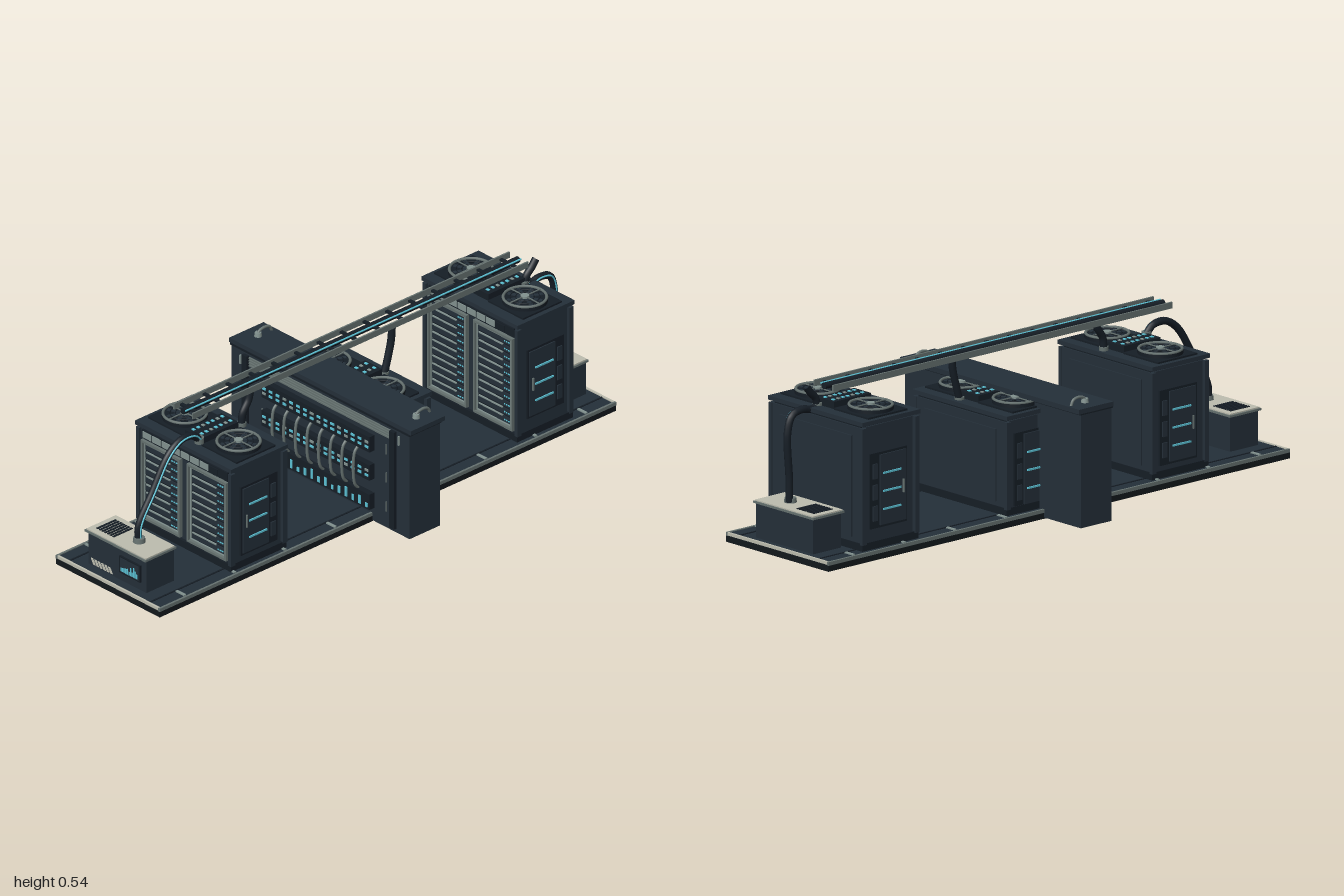
import * as THREE from 'three';

const mat = (name, color) => Object.assign(new THREE.MeshStandardMaterial({ color }), { name });
const M = {
  body: mat('slate body', 0x242f39),
  dark: mat('dark trim', 0x161e26),
  grey: mat('grey metal', 0x65716f),
  pale: mat('pale metal', 0x82928f),
  cream: mat('cream plate', 0xbdbdaf),
  cyan: mat('cyan light', 0x5cc3d6),
  floor: mat('underside', 0x12181c),
};

function add(parent, name, geo, material, x = 0, y = 0, z = 0) {
  const mesh = new THREE.Mesh(geo, material);
  mesh.name = name;
  mesh.position.set(x, y, z);
  parent.add(mesh);
  return mesh;
}
// box given by its limits on each axis
function box(parent, name, m, x0, x1, y0, y1, z0, z1) {
  return add(parent, name, new THREE.BoxGeometry(x1 - x0, y1 - y0, z1 - z0), m,
    (x0 + x1) / 2, (y0 + y1) / 2, (z0 + z1) / 2);
}
function group(parent, name, x = 0, y = 0, z = 0) {
  const g = new THREE.Group();
  g.name = name;
  g.position.set(x, y, z);
  parent.add(g);
  return g;
}
function cable(parent, name, m, pts, r) {
  const curve = new THREE.CatmullRomCurve3(pts.map(p => new THREE.Vector3(...p)));
  return add(parent, name, new THREE.TubeGeometry(curve, 32, r, 10), m);
}
// rectangular frame in the xy plane
function frame(parent, name, m, x0, x1, y0, y1, z0, z1, t) {
  box(parent, name, m, x0, x0 + t, y0, y1, z0, z1);
  box(parent, name, m, x1 - t, x1, y0, y1, z0, z1);
  box(parent, name, m, x0 + t, x1 - t, y0, y0 + t, z0, z1);
  box(parent, name, m, x0 + t, x1 - t, y1 - t, y1, z0, z1);
}

function fan(parent, x, y) {
  const g = group(parent, 'fan', x, y, 0);
  add(g, 'fanHousing', new THREE.CylinderGeometry(0.074, 0.074, 0.012, 32), M.dark, 0, 0.006, 0);
  [[0.07, 0.005, M.grey], [0.048, 0.002, M.dark], [0.03, 0.002, M.dark]].forEach(([r, t, m]) => {
    add(g, 'fanRing', new THREE.TorusGeometry(r, t, 6, 36), m, 0, 0.014, 0).rotation.x = Math.PI / 2;
  });
  for (let i = 0; i < 8; i++) {
    const blade = add(g, 'fanBlade', new THREE.BoxGeometry(0.045, 0.003, 0.014), M.body);
    const a = i * Math.PI / 4 + 0.4;
    blade.position.set(Math.cos(a) * 0.038, 0.013, -Math.sin(a) * 0.038);
    blade.rotation.y = a;
  }
  box(g, 'fanSpoke', M.grey, -0.07, 0.07, 0.015, 0.018, -0.002, 0.002);
  box(g, 'fanSpoke', M.grey, -0.002, 0.002, 0.015, 0.018, -0.07, 0.07);
  add(g, 'fanHub', new THREE.CylinderGeometry(0.014, 0.014, 0.009, 16), M.pale, 0, 0.016, 0);
}

function rack(parent, z, h) {
  const g = group(parent, 'serverRack', 0, 0, z);
  box(g, 'rackBody', M.body, -0.21, 0.21, 0.03, h, -0.12, 0.112);
  box(g, 'rackPlinth', M.dark, -0.22, 0.22, 0.03, 0.055, -0.122, 0.122);
  for (const x of [-0.216, 0.216]) for (const zz of [-0.114, 0.114])
    box(g, 'cornerPost', M.body, x - 0.007, x + 0.007, 0.05, h, zz - 0.009, zz + 0.009);
  box(g, 'rearPanel', M.body, -0.17, 0.17, 0.07, h - 0.03, -0.125, -0.12);

  // roof, fans and central light block
  box(g, 'roofGap', M.dark, -0.205, 0.205, h, h + 0.008, -0.115, 0.115);
  box(g, 'roof', M.body, -0.225, 0.225, h + 0.008, h + 0.022, -0.125, 0.125);
  for (const x of [-0.126, 0.126]) {
    box(g, 'fanPlate', M.dark, x - 0.082, x + 0.082, h + 0.022, h + 0.028, -0.085, 0.085);
    fan(g, x, h + 0.028);
  }
  box(g, 'lightBlock', M.dark, -0.04, 0.04, h + 0.022, h + 0.046, -0.08, 0.08);
  for (let i = 0; i < 7; i++) for (const x of [-0.02, 0.018])
    box(g, 'roofLight', i % 3 === 1 ? M.pale : M.cyan, x - 0.006, x + 0.006,
      h + 0.046, h + 0.049, -0.07 + i * 0.021, -0.061 + i * 0.021);

  // header plates
  box(g, 'header', M.dark, -0.2, 0.2, h - 0.034, h - 0.002, 0.112, 0.118);
  for (let i = 0; i < 8; i++) {
    const x = -0.194 + i * 0.0445;
    box(g, 'headerPlate', i === 7 ? M.dark : M.pale, x, x + 0.039, h - 0.029, h - 0.007, 0.118, 0.121);
  }
  // two doors of stacked blades
  const y0 = 0.062, y1 = h - 0.038, n = Math.round((y1 - y0) / 0.031), step = (y1 - y0 - 0.02) / n;
  for (const x of [-0.108, 0.108]) {
    box(g, 'doorRecess', M.dark, x - 0.085, x + 0.085, y0, y1, 0.112, 0.114);
    frame(g, 'doorFrame', M.grey, x - 0.092, x + 0.092, y0, y1, 0.112, 0.125, 0.008);
    frame(g, 'innerFrame', M.pale, x - 0.08, x + 0.08, y0 + 0.012, y1 - 0.01, 0.112, 0.12, 0.003);
    for (let i = 0; i < n; i++) {
      const y = y0 + 0.012 + i * step;
      box(g, 'blade', M.body, x - 0.076, x + 0.076, y + 0.004, y + step - 0.003, 0.112, 0.117);
      box(g, 'bladeEdge', M.pale, x - 0.072, x + 0.04, y + step - 0.005, y + step - 0.001, 0.115, 0.12);
      for (let k = 0; k < 3; k++)
        box(g, 'bladeLight', M.cyan, x + 0.046 + k * 0.01, x + 0.052 + k * 0.01,
          y + 0.011, y + 0.015, 0.117, 0.119);
    }
  }
  // side panels with light bars
  for (const s of [-1, 1]) {
    const side = (name, m, d0, d1, a, b, c, d) =>
      box(g, name, m, Math.min(s * d0, s * d1), Math.max(s * d0, s * d1), a, b, c, d);
    const mid = 0.19 + (h - 0.385) * 0.5;
    side('sidePanel', M.dark, 0.21, 0.217, mid - 0.12, mid + 0.13, -0.085, 0.075);
    side('sideDoor', M.body, 0.217, 0.221, mid - 0.112, mid + 0.122, -0.045, 0.068);
    side('sideHandle', M.grey, 0.221, 0.226, mid - 0.02, mid + 0.025, 0.052, 0.057);
    for (let i = -1; i <= 1; i++) {
      side('sideLight', M.cyan, 0.221, 0.225, mid + i * 0.06 - 0.003, mid + i * 0.06 + 0.003, -0.034, 0.044);
      side('sideVent', M.body, 0.217, 0.221, mid + i * 0.07 - 0.025, mid + i * 0.07 + 0.025, -0.075, -0.055);
    }
  }
}

function powerBox(parent, z) {
  const g = group(parent, 'powerBox', 0, 0, z);
  box(g, 'boxBody', M.body, -0.136, 0.136, 0.03, 0.148, -0.06, 0.06);
  box(g, 'boxLid', M.grey, -0.145, 0.14, 0.146, 0.153, -0.068, 0.068);
  box(g, 'lidPlate', M.cream, -0.14, 0.136, 0.153, 0.157, -0.064, 0.064);
  for (let i = 0; i < 7; i++)
    box(g, 'ventSlot', M.dark, -0.119 + i * 0.0125, -0.111 + i * 0.0125, 0.157, 0.159, -0.042, 0.042);
  box(g, 'screenFrame', M.dark, 0.014, 0.112, 0.06, 0.121, 0.06, 0.066);
  box(g, 'screen', M.body, 0.019, 0.107, 0.065, 0.116, 0.066, 0.067);
  [12, 14, 15, 17, 20, 12, 28, 15, 34, 24, 16].forEach((v, i) =>
    box(g, 'screenBar', M.cyan, 0.024 + i * 0.0073, 0.029 + i * 0.0073, 0.069, 0.069 + v / 1000, 0.067, 0.069));
  // slanted warning stripes
  const s = new THREE.Shape([[0, 0], [0.009, 0], [-0.003, 0.02], [-0.012, 0.02]].map(p => new THREE.Vector2(...p)));
  const geo = new THREE.ExtrudeGeometry(s, { depth: 0.003, bevelEnabled: false });
  for (let i = 0; i < 6; i++) add(g, 'warningStripe', geo, M.cream, -0.11 + i * 0.016, 0.036, 0.06);
  add(g, 'cableSocket', new THREE.CylinderGeometry(0.019, 0.021, 0.016, 16), M.grey, 0.038, 0.164, 0);
}

function controlWall(parent) {
  const g = group(parent, 'controlWall');
  box(g, 'wallBody', M.body, -0.417, 0.417, 0.004, 0.388, -0.065, 0.068);
  box(g, 'wallCap', M.body, -0.425, 0.425, 0.386, 0.402, -0.08, 0.07);
  box(g, 'capShadowStrip', M.dark, -0.42, 0.42, 0.38, 0.387, -0.07, 0.072);
  for (let i = 0; i < 4; i++)
    box(g, 'topLouvre', M.grey, -0.33, 0.33, 0.337 + i * 0.009, 0.342 + i * 0.009, 0.068, 0.074);
  for (const x of [-0.345, 0.345]) box(g, 'wallRib', M.dark, x - 0.011, x + 0.011, 0.018, 0.372, 0.068, 0.08);
  for (const x of [-0.37, 0.37]) {
    box(g, 'wallHandle', M.pale, x - 0.003, x + 0.003, 0.33, 0.362, 0.068, 0.075);
    cable(g, 'liftingHandle', M.grey, [[x, 0.4, -0.065], [x, 0.418, -0.055], [x, 0.424, -0.035], [x, 0.418, -0.01], [x, 0.4, 0]], 0.005);
    add(g, 'handleBase', new THREE.CylinderGeometry(0.011, 0.013, 0.014, 12), M.pale, x, 0.409, -0.005);
  }
  // three switch rows
  [0.29, 0.187, 0.08].forEach((y, row) => {
    box(g, 'switchRow', M.dark, -0.252, 0.252, y - 0.028, y + 0.028, 0.068, 0.09);
    for (const x of [-0.29, 0.29])
      box(g, 'rowMarker', M.grey, x + 0.017, x + 0.021, y - 0.018, y + 0.018, 0.068, 0.071);
    for (let i = 0; i < 16; i++) {
      const x = -0.24 + i * 0.032;
      if (row < 2) for (let k = 0; k < 2; k++)
        box(g, 'switchLight', (i + k) % 4 ? M.cyan : M.pale, x - 0.008, x + 0.008, y - 0.014 + k * 0.018, y - 0.006 + k * 0.018, 0.09, 0.093);
      else
        box(g, 'meterBar', M.cyan, x - 0.005, x + 0.005, y - 0.02, y - 0.005 + (i * 7 % 5) * 0.005, 0.09, 0.093);
    }
  });
  // pipes linking the rows
  for (let i = 0; i < 8; i++) {
    const x = -0.19 + i * 0.0543;
    cable(g, 'patchPipe', M.grey, [[x, 0.26, 0.08], [x, 0.24, 0.097], [x, 0.13, 0.097], [x, 0.105, 0.08]], 0.005);
  }
}

function cableTray(parent) {
  const g = group(parent, 'cableTray');
  for (const x of [-0.044, 0.044]) {
    box(g, 'trayRail', M.grey, x - 0.003, x + 0.003, 0.52, 0.541, -0.8, 0.67);
  }
  for (let i = 0; i < 15; i++) {
    const z = -0.76 + i * 0.1;
    box(g, 'trayRung', M.dark, -0.042, 0.042, 0.526, 0.533, z - 0.006, z + 0.006);
  }
  const run = (name, m, x, y, r) =>
    add(g, name, new THREE.CylinderGeometry(r, r, 1.47, 10), m, x, y, -0.065).rotation.x = Math.PI / 2;
  run('mainCable', M.dark, -0.002, 0.53, 0.011);
  run('lightFibre', M.cyan, 0.012, 0.537, 0.003);
}

export function createModel() {
  const model = new THREE.Group();
  model.name = 'serverPlatform';

  // floor slab with edge strips and ticks
  const base = group(model, 'platform');
  box(base, 'slab', M.floor, -0.243, 0.243, 0, 0.02, -1, 1);
  box(base, 'deck', M.body, -0.235, 0.235, 0.02, 0.03, -0.99, 0.99);
  for (const s of [-1, 1]) {
    box(base, 'sideEdge', M.grey, s * 0.24 - 0.004, s * 0.24 + 0.004, 0.02, 0.032, -1, 1);
    box(base, 'endEdge', M.cream, -0.236, 0.236, 0.022, 0.032, s * 0.996 - 0.004, s * 0.996 + 0.004);
    box(base, 'deckSeam', M.dark, s * 0.188 - 0.003, s * 0.188 + 0.003, 0.03, 0.032, -0.99, 0.99);
    for (let i = 0; i < 9; i++) {
      const z = -0.88 + i * 0.22;
      box(base, 'edgeTick', M.pale, s * 0.213 - 0.02, s * 0.213 + 0.02, 0.03, 0.034, z - 0.005, z + 0.005);
    }
  }

  rack(model, 0.545, 0.385);
  rack(model, -0.085, 0.34);
  rack(model, -0.71, 0.437);
  powerBox(model, 0.898);
  powerBox(model, -0.908);
  controlWall(model);
  cableTray(model);

  // feed cables, each with a glowing strand beside it
  const feeds = [
    [[0.16, 0.898], [0.21, 0.895], [0.31, 0.835], [0.42, 0.765], [0.455, 0.71], [0.45, 0.655], [0.425, 0.63]],
    [[0.16, -0.918], [0.24, -0.918], [0.39, -0.925], [0.445, -0.905], [0.457, -0.86], [0.45, -0.82], [0.46, -0.79]],
    [[0.525, 0.405], [0.49, 0.415], [0.45, 0.44], [0.41, 0.445]],
    [[0.525, -0.215], [0.47, -0.21], [0.41, -0.195], [0.36, -0.18]],
    [[0.53, -0.845], [0.505, -0.825], [0.485, -0.805], [0.455, -0.795]],
  ];
  feeds.forEach((f, i) => {
    cable(model, 'feedCable', M.dark, f.map(([y, z]) => [0.033, y, z]), 0.0125);
    if (i < 2) cable(model, 'glowStrand', M.cyan, f.map(([y, z]) => [0.045, y + 0.003, z]), 0.003);
    const [ey, ez] = f[f.length - 1];
    add(model, 'cablePlug', new THREE.CylinderGeometry(0.016, 0.016, 0.02, 12), M.grey, 0.033, ey, ez);
  });
  return model;
}
